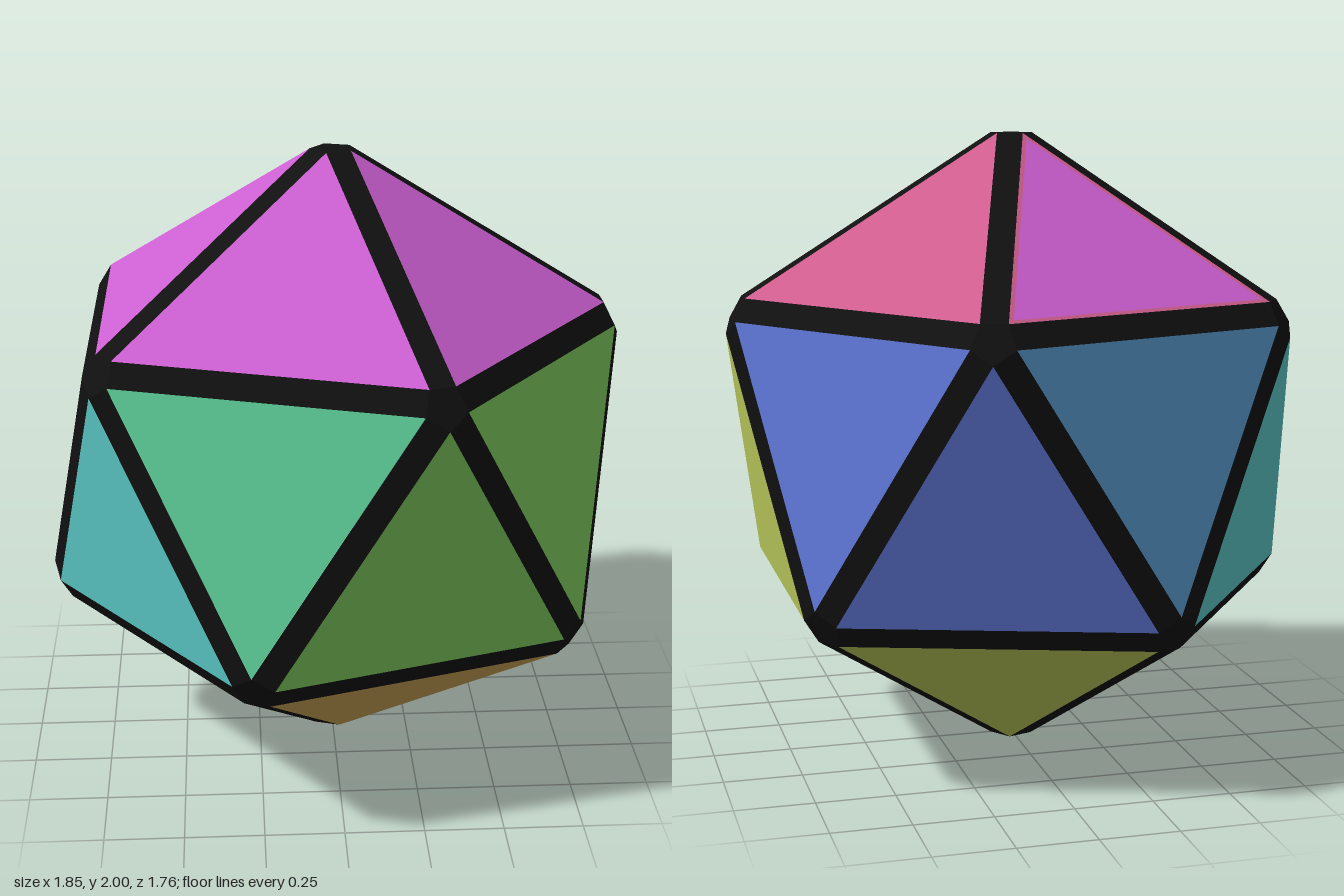
import * as THREE from 'three';

const R = 0.908;     // corner radius of the core icosahedron
const PUSH = 0.115;  // how far each panel is pushed out along its normal

const paint = (name, color) => {
  const m = new THREE.MeshStandardMaterial({ color });
  m.name = name;
  return m;
};

// flat convex polygons, corners counter-clockwise from outside
function polygons(list) {
  const points = [];
  for (const p of list)
    for (let i = 1; i < p.length - 1; i++) points.push(p[0], p[i], p[i + 1]);
  const g = new THREE.BufferGeometry().setFromPoints(points);
  g.computeVertexNormals();
  return g;
}

export function createModel() {
  const black = paint('black', 0x101010);
  const pink = paint('pink', 0xd05d8e);
  const magenta = paint('magenta', 0xcc5fd2);
  const mint = paint('mint', 0x5fd09c);
  const green = paint('green', 0x82d060);
  const yellow = paint('yellow', 0xc0d05e);
  const brown = paint('brown', 0xd0aa58);
  const teal = paint('teal', 0x5ed0cf);
  const steel = paint('steelBlue', 0x5b9ad0);
  const blue = paint('blue', 0x5d74d2);

  // core corners: 0 top, 1-5 upper ring, 6-10 lower ring, 11 bottom
  const ring = (deg, y) => {
    const a = THREE.MathUtils.degToRad(deg);
    return new THREE.Vector3(R * Math.sqrt(0.8) * Math.cos(a), y * R * Math.sqrt(0.2), R * Math.sqrt(0.8) * Math.sin(a));
  };
  const core = [new THREE.Vector3(0, R, 0)];
  for (let k = 0; k < 5; k++) core.push(ring(72 * k, 1));
  for (let k = 0; k < 5; k++) core.push(ring(72 * k + 36, -1));
  core.push(new THREE.Vector3(0, -R, 0));

  // colours of the four bands of five panels, by angle from +x towards +z
  const topColors = [magenta, magenta, magenta, magenta, pink];
  const downColors = [green, mint, teal, steel, blue];
  const upColors = [green, teal, teal, blue, yellow];
  const bottomColors = [brown, pink, yellow, yellow, brown];
  const faces = [];
  for (let k = 0; k < 5; k++) {
    const n = (k + 1) % 5;
    faces.push(
      { name: 'topPanel', ids: [0, 1 + k, 1 + n], mat: topColors[k], edged: k === 3 },
      { name: 'upperPanel', ids: [1 + k, 1 + n, 6 + k], mat: downColors[k] },
      { name: 'lowerPanel', ids: [1 + n, 6 + k, 6 + n], mat: upColors[k] },
      { name: 'bottomPanel', ids: [11, 6 + k, 6 + n], mat: bottomColors[k] });
  }

  const model = new THREE.Group();
  model.name = 'icosahedron';
  const add = (name, geometry, material) => {
    const mesh = new THREE.Mesh(geometry, material);
    mesh.name = name;
    mesh.position.y = 1;
    model.add(mesh);
  };

  // orient the faces outward, push them out and index their directed edges
  const byEdge = new Map();
  for (const f of faces) {
    const normal = () => {
      const [a, b, c] = f.ids.map(i => core[i]);
      return b.clone().sub(a).cross(c.clone().sub(a)).normalize();
    };
    if (normal().dot(core[f.ids[0]]) < 0) f.ids.reverse();
    const n = normal();
    f.corner = i => core[i].clone().addScaledVector(n, PUSH);
    f.ids.forEach((a, i) => byEdge.set(a + '>' + f.ids[(i + 1) % 3], f));
  }

  // coloured panels, one with a thin pink rim
  for (const f of faces) {
    const tri = f.ids.map(f.corner);
    if (!f.edged) {
      add(f.name, polygons([tri]), f.mat);
      continue;
    }
    const mid = tri[0].clone().add(tri[1]).add(tri[2]).divideScalar(3);
    const inner = tri.map(p => p.clone().lerp(mid, 0.05));
    add(f.name, polygons([inner]), f.mat);
    add('panelRim', polygons(tri.map((p, i) => {
      const j = (i + 1) % 3;
      return [p, tri[j], inner[j], inner[i]];
    })), pink);
  }

  // black strips along the edges
  const strips = [];
  for (let a = 0; a < 12; a++)
    for (let b = a + 1; b < 12; b++) {
      const f = byEdge.get(a + '>' + b), g = byEdge.get(b + '>' + a);
      if (f) strips.push([f.corner(b), f.corner(a), g.corner(a), g.corner(b)]);
    }
  add('edgeStrips', polygons(strips), black);

  // black pentagons over the corners, walking around each corner's faces
  const caps = core.map((_, v) => {
    let f = faces.find(face => face.ids.includes(v));
    const cap = [];
    for (let i = 0; i < 5; i++) {
      cap.push(f.corner(v));
      const last = f.ids[(f.ids.indexOf(v) + 2) % 3];
      f = byEdge.get(v + '>' + last);
    }
    return cap;
  });
  add('cornerCaps', polygons(caps), black);

  return model;
}
